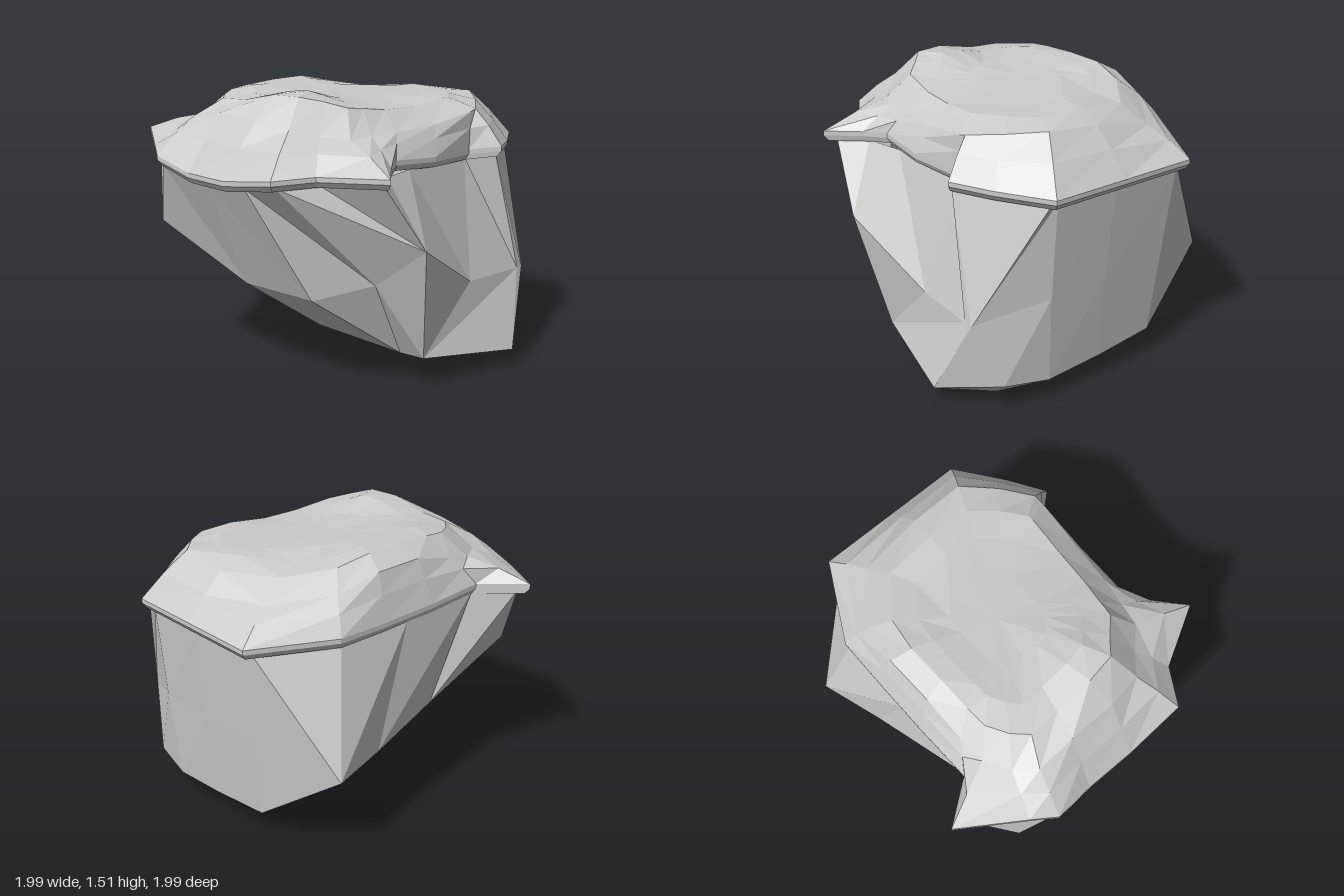
import * as THREE from 'three';

// Skin a stack of closed loops, lowest first; ends may be closed by a tip point.
function skin(name, loops, bottomTip, topTip) {
  const pos = [];
  const n = loops[0].length;
  const tri = (a, b, c) => pos.push(...a, ...b, ...c);
  for (let i = 0; i < n; i++) {
    const j = (i + 1) % n;
    for (let k = 0; k + 1 < loops.length; k++) {
      const lo = loops[k], hi = loops[k + 1];
      tri(lo[j], lo[i], hi[i]);
      tri(lo[j], hi[i], hi[j]);
    }
    if (bottomTip) tri(bottomTip, loops[0][i], loops[0][j]);
    if (topTip) tri(topTip, loops.at(-1)[j], loops.at(-1)[i]);
  }
  const geo = new THREE.BufferGeometry();
  geo.setAttribute('position', new THREE.Float32BufferAttribute(pos, 3));
  geo.computeVertexNormals();
  const mesh = new THREE.Mesh(geo, new THREE.MeshStandardMaterial({
    color: 0xcccccc, flatShading: true, side: THREE.DoubleSide,
  }));
  mesh.name = name;
  return mesh;
}

// Faceted cliff below the cap. Each column is upper, middle, lower point,
// from the back round by +x; repeated points merge facets into triangles.
function buildCliff() {
  const sideCorner = [0.74, 0.78, 0.55], foot = [0.67, 0.16, 0.38];
  const backTop = [-0.04, 1.13, -0.93], backFoot = [-0.01, 0.16, -0.82];
  const backCorner = [-0.49, 0.49, -0.85], leftFoot = [-0.04, 0.16, 0.13];
  const columns = [
    [backTop, [-0.02, 0.6, -0.87], backFoot],
    [[0.36, 1.13, -0.8], [0.36, 0.6, -0.75], [0.33, 0.13, -0.71]],
    [[0.7, 1.13, -0.67], [0.68, 0.6, -0.63], [0.64, 0.11, -0.6]],
    [[0.74, 1.13, -0.66], [0.96, 0.5, -0.35], [0.86, 0.14, -0.47]],
    [[0.85, 1.14, -0.17], [0.96, 0.5, -0.34], [0.99, 0.09, -0.13]],
    [[0.69, 1.13, -0.12], [0.95, 0.5, -0.3], [0.99, 0.09, -0.13]],
    [[0.57, 1.14, 0.36], [0.8, 0.5, 0.05], foot],
    [[0.54, 1.14, 0.58], sideCorner, foot],
    [[0.6, 1.13, 0.75], sideCorner, foot],
    [[0.27, 1.13, 0.81], sideCorner, foot],
    [[0.11, 1.12, 0.94], sideCorner, foot],
    [[-0.08, 1.09, 0.89], [0.48, 0.58, 0.57], foot],
    [[-0.34, 1.07, 0.8], [0.18, 0.49, 0.68], [0.53, 0.16, 0.35]],
    [[-0.66, 1.12, 0.7], [-0.26, 0.49, 0.55], leftFoot],
    [[-0.93, 1.18, 0.3], [-0.77, 0.78, 0.55], leftFoot],
    [[-0.71, 1.16, 0.2], [-0.53, 0.5, 0.12], [0, 0.15, -0.05]],
    [[-0.55, 1.14, -0.25], [-0.51, 0.49, -0.48], [0.03, 0.13, -0.4]],
    [[-0.39, 1.13, -0.66], backCorner, backFoot],
    [backTop, backCorner, backFoot],
  ];
  const loops = [2, 1, 0].map((k) => columns.map((c) => c[k]));
  return skin('cliff', loops, [0.73, 0, -0.34]);
}

// Overhanging cap with a thin lip, a sloping flank, a shoulder and a lumpy plateau.
function buildCap() {
  const rim = [
    [-0.04, 1.17, -1], [0.36, 1.17, -0.85], [0.76, 1.17, -0.7], [0.84, 1.18, -0.4],
    [0.88, 1.19, -0.17], [0.72, 1.17, -0.11], [0.65, 1.18, 0.2], [0.54, 1.2, 0.46],
    [0.57, 1.19, 0.6], [0.65, 1.18, 0.8], [0.29, 1.17, 0.85], [0.12, 1.16, 0.99],
    [-0.2, 1.11, 0.88], [-0.46, 1.11, 0.78], [-0.68, 1.17, 0.72], [-0.77, 1.2, 0.6],
    [-1, 1.23, 0.29], [-0.73, 1.21, 0.21], [-0.62, 1.19, -0.1], [-0.5, 1.18, -0.42],
    [-0.4, 1.18, -0.68],
  ];
  const shoulder = [
    [-0.03, 1.31, -0.76], [0.3, 1.39, -0.65], [0.57, 1.42, -0.54], [0.67, 1.4, -0.35],
    [0.73, 1.38, -0.17], [0.72, 1.37, -0.13], [0.61, 1.33, 0.12], [0.5, 1.32, 0.36],
    [0.42, 1.32, 0.5], [0.36, 1.31, 0.61], [0.22, 1.33, 0.67], [0.09, 1.36, 0.74],
    [-0.11, 1.39, 0.7], [-0.36, 1.4, 0.61], [-0.56, 1.36, 0.54], [-0.62, 1.32, 0.42],
    [-0.65, 1.33, 0.27], [-0.61, 1.36, 0.13], [-0.53, 1.42, -0.1], [-0.44, 1.42, -0.36],
    [-0.32, 1.35, -0.57],
  ];
  const flank = rim.map((r, i) => r.map((v, k) => (v + shoulder[i][k]) / 2 + (k === 1 ? 0.012 : 0)));
  const bump = (x, z, cx, cz) => Math.exp(-((x - cx) ** 2 + (z - cz) ** 2) / 0.035);
  const height = (x, z) => 1.445 + 0.07 * bump(x, z, 0.02, 0.5)
    + 0.05 * bump(x, z, -0.4, -0.2) + 0.04 * bump(x, z, -0.4, 0.15)
    - 0.06 * bump(x, z, -0.08, -0.6) - 0.03 * bump(x, z, 0.5, 0.2)
    + 0.01 * Math.sin(6 * x + 2);
  const inner = (s) => shoulder.map(([x, , z]) => [x * s, height(x * s, z * s), z * s]);
  const shrink = (s, dy) => rim.map(([x, y, z]) => [x * s, y + dy, z * s]);
  const loops = [
    shrink(0.86, -0.05), shrink(0.975, -0.055), shrink(1, -0.025), rim, flank,
    shoulder, inner(0.8), inner(0.6), inner(0.35),
  ];
  return skin('cap', loops, null, [0, height(0, 0), 0]);
}

export function createModel() {
  const group = new THREE.Group();
  group.name = 'rock';
  group.add(buildCliff(), buildCap());
  return group;
}
